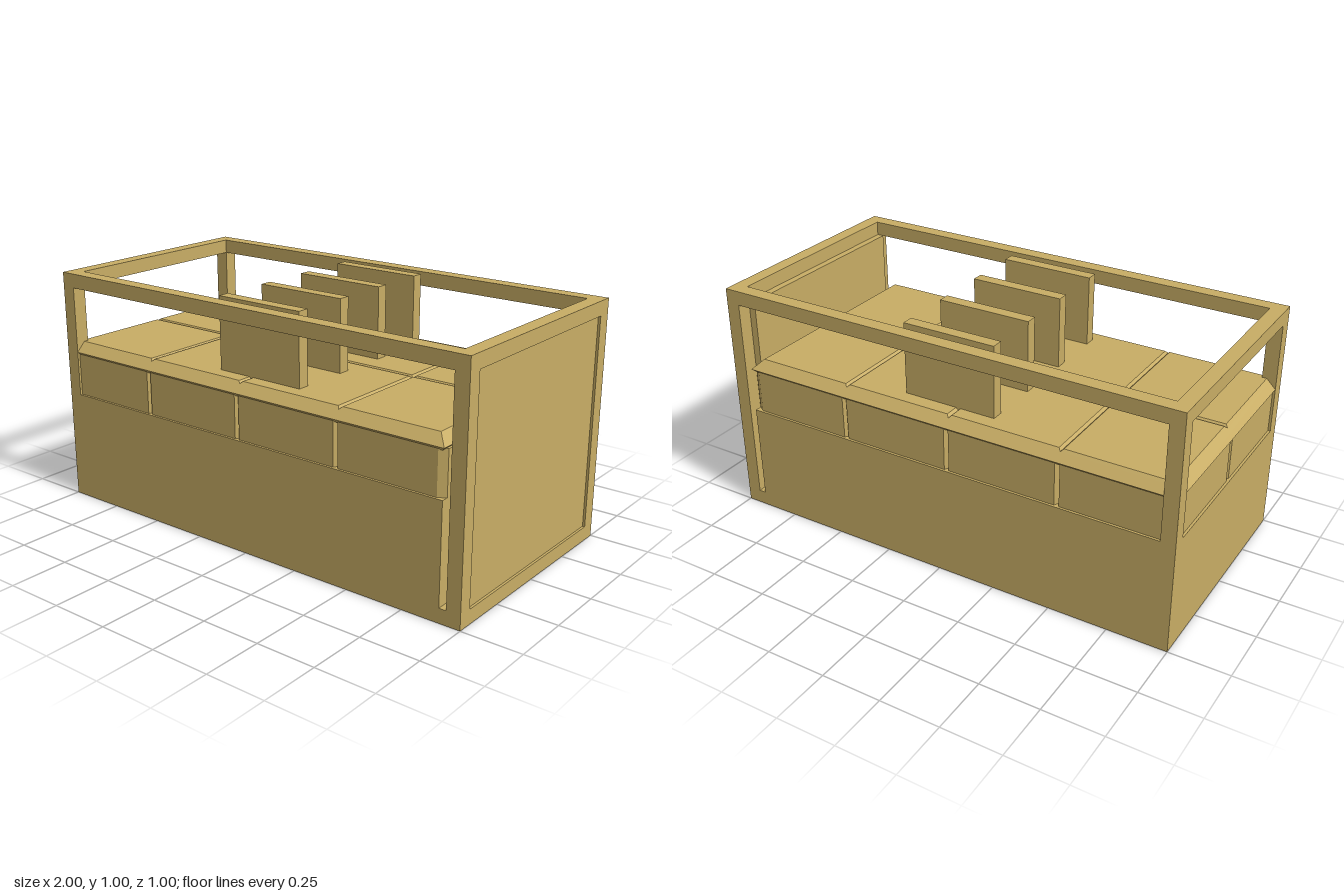
import * as THREE from 'three';

// Solid lofted through rectangles, each given as [height, x0, x1, z0, z1]
function loft(rings) {
  const R = rings.map(([h, x0, x1, z0, z1]) => [[x0, h, z1], [x1, h, z1], [x1, h, z0], [x0, h, z0]]);
  const p = [];
  const quad = (a, b, c, d) => p.push(...a, ...b, ...c, ...a, ...c, ...d);
  for (let k = 0; k + 1 < R.length; k++) {
    for (let i = 0; i < 4; i++) {
      const j = (i + 1) % 4;
      quad(R[k][i], R[k][j], R[k + 1][j], R[k + 1][i]);
    }
  }
  quad(...R[R.length - 1]);
  quad(...[...R[0]].reverse());
  const g = new THREE.BufferGeometry();
  g.setAttribute('position', new THREE.Float32BufferAttribute(p, 3));
  g.computeVertexNormals();
  return g;
}

export function createModel() {
  const root = new THREE.Group();
  root.name = 'boxBench';
  const wood = new THREE.MeshStandardMaterial({ color: 0xc8ad65 });
  wood.name = 'sand';

  const add = (name, geo, parent = root) => {
    const m = new THREE.Mesh(geo, wood);
    m.name = name;
    parent.add(m);
    return m;
  };
  const box = (name, x0, x1, y0, y1, z0, z1, parent = root) =>
    add(name, new THREE.BoxGeometry(x1 - x0, y1 - y0, z1 - z0), parent)
      .position.set((x0 + x1) / 2, (y0 + y1) / 2, (z0 + z1) / 2);

  // Outer frame of twelve square beams
  const t = 0.06;
  const frame = new THREE.Group();
  frame.name = 'frame';
  root.add(frame);
  for (const y of [0, 1 - t]) {
    for (const z of [-0.5, 0.5 - t]) box('longRail', -1, 1, y, y + t, z, z + t, frame);
    for (const x of [-1, 1 - t]) box('endRail', x, x + t, y, y + t, -0.5 + t, 0.5 - t, frame);
  }
  for (const x of [-1, 1 - t]) {
    for (const z of [-0.5, 0.5 - t]) box('post', x, x + t, t, 1 - t, z, z + t, frame);
  }

  // Lower body and the inset panel closing one end
  box('body', -1, 0.91, 0, 0.47, -0.5, 0.5);
  box('endPanel', 0.91, 0.99, t, 1 - t, -0.44, 0.44);

  // Seat core and bevelled seat slab
  box('seatCore', -0.97, 0.91, 0.47, 0.65, -0.47, 0.47);
  add('seatSlab', loft([
    [0.645, -0.985, 0.895, -0.485, 0.485],
    [0.66, -1, 0.91, -0.5, 0.5],
    [0.69, -0.97, 0.88, -0.47, 0.47],
  ]));

  // Seat tiles with narrow V seams, four by two
  const seams = [-0.97, -0.52, -0.04, 0.44, 0.88];
  const b = 0.01;
  for (let i = 0; i < 4; i++) {
    const x0 = seams[i], x1 = seams[i + 1];
    for (const z0 of [-0.47, 0]) {
      const z1 = z0 + 0.47;
      add('seatTile', loft([
        [0.685, x0, x1, z0, z1],
        [0.69, x0, x1, z0, z1],
        [0.70, x0 + b, x1 - b, z0 + b, z1 - b],
      ]));
    }
    // Matching pads along the front and back
    const last = i === 3, outer = last ? 0.91 : x1, inner = last ? 0.88 : x1 - b;
    for (const s of [1, -1]) {
      const g = loft([
        [0.46, x0, outer, -0.09, 0.09],
        [0.47, x0, outer, -0.09, 0.09],
        [0.49, x0 + b, inner, -0.09, 0.09],
      ]);
      g.rotateX(s * Math.PI / 2);
      add(s > 0 ? 'frontPad' : 'backPad', g).position.y = 0.56;
    }
  }

  // Two pads on the open end
  for (const z0 of [-0.47, 0]) {
    const z1 = z0 + 0.47;
    const g = loft([
      [0.96, -0.09, 0.09, z0, z1],
      [0.97, -0.09, 0.09, z0, z1],
      [0.99, -0.09, 0.09, z0 + b, z1 - b],
    ]);
    g.rotateZ(Math.PI / 2);
    add('endPad', g).position.y = 0.56;
  }

  // Upright boards standing on the seat
  for (const z of [-0.4, -0.15, 0.1, 0.35]) box('uprightBoard', -0.2, 0.2, 0.69, 1, z, z + 0.05);

  return root;
}
